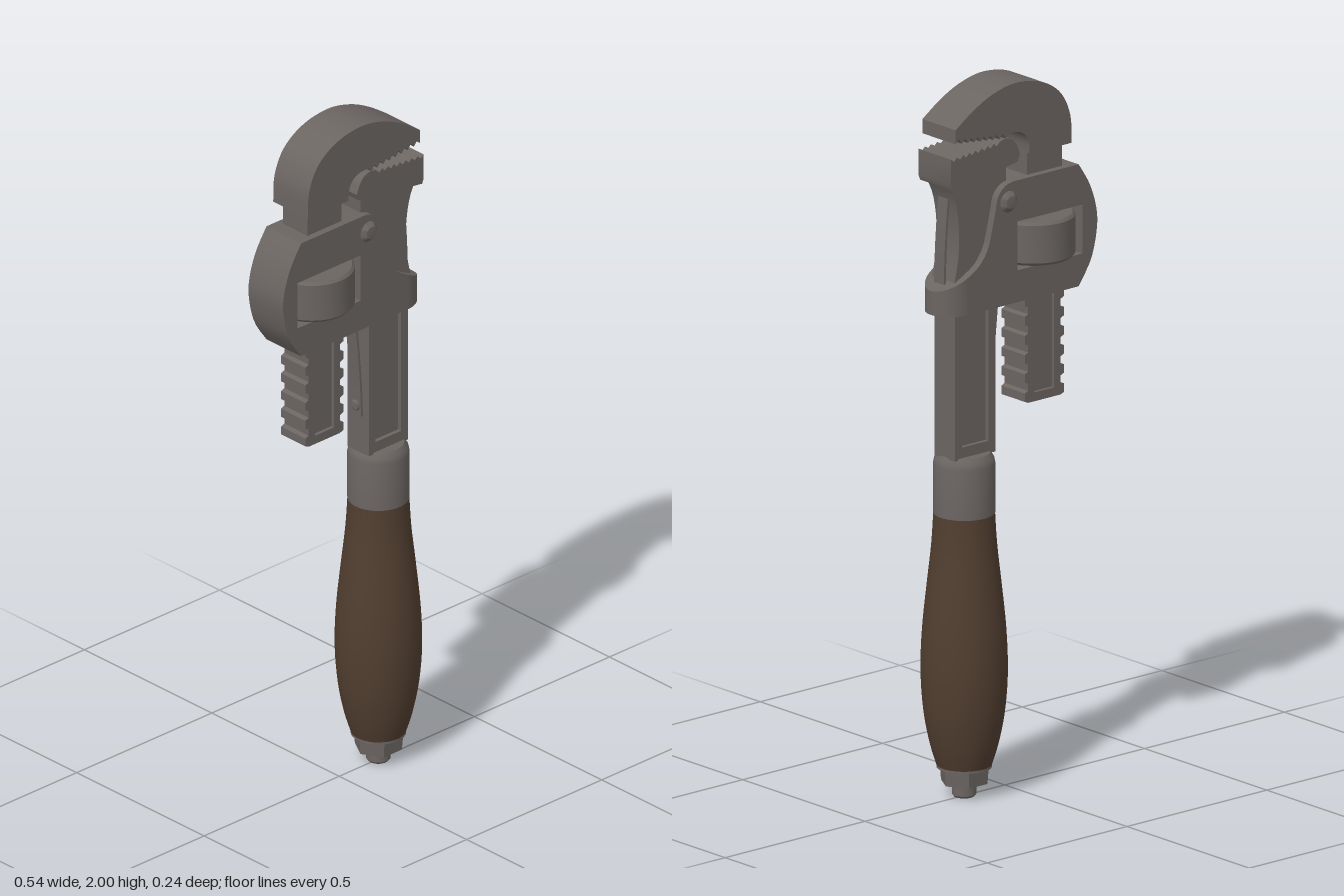
import * as THREE from 'three';
import { toCreasedNormals } from 'three/addons/utils/BufferGeometryUtils.js';

export function createModel() {
  const model = new THREE.Group();
  model.name = 'pipeWrench';
  const steel = new THREE.MeshStandardMaterial({ color: 0x6b6562 });
  steel.name = 'steel';
  const wood = new THREE.MeshStandardMaterial({ color: 0x513e30 });
  wood.name = 'dark wood';

  function add(name, geometry, material = steel, x = 0, y = 0, z = 0) {
    const mesh = new THREE.Mesh(geometry, material);
    mesh.name = name;
    mesh.position.set(x, y, z);
    model.add(mesh);
    return mesh;
  }
  const vec = (pts) => pts.map(([x, y]) => new THREE.Vector2(x, y));
  const curve = (pts, n = 24) => new THREE.SplineCurve(vec(pts)).getPoints(n);
  const rect = (x0, y0, x1, y1) => vec([[x0, y0], [x1, y0], [x1, y1], [x0, y1]]);
  // Slab cut from an outline in the xy plane, centred on z = 0
  function slab(outline, depth, holes = []) {
    const shape = new THREE.Shape(outline);
    holes.forEach((h) => shape.holes.push(new THREE.Path(h)));
    const g = new THREE.ExtrudeGeometry(shape, { depth, bevelEnabled: false });
    g.translate(0, 0, -depth / 2);
    return toCreasedNormals(g, 0.6);
  }
  const lathe = (pts, seg = 40) =>
    toCreasedNormals(new THREE.LatheGeometry(vec(pts), seg), 0.6);
  const HX = 0.145; // axis of the handle

  // Handle
  const grip = curve([[0.075, 0.09], [0.093, 0.15], [0.11, 0.24], [0.118, 0.35],
    [0.114, 0.47], [0.101, 0.6], [0.089, 0.71], [0.083, 0.81]], 28).map((p) => [p.x, p.y]);
  add('woodenGrip', lathe([[0, 0.09], ...grip, [0, 0.81]]), wood, HX);
  add('ferrule', lathe([[0, 0.8], [0.084, 0.8], [0.084, 0.94], [0.081, 0.955],
    [0.07, 0.97], [0, 0.97]]), steel, HX);
  add('washer', new THREE.CylinderGeometry(0.075, 0.075, 0.014, 32), steel, HX, 0.09);
  add('endNut', toCreasedNormals(new THREE.CylinderGeometry(0.07, 0.066, 0.046, 6), 0.4),
    steel, HX, 0.062).rotation.y = Math.PI / 6;
  add('boltEnd', lathe([[0, 0], [0.028, 0], [0.033, 0.006], [0.033, 0.05], [0, 0.05]], 20),
    steel, HX);

  // Shank with a sunken panel on both faces
  add('shankRim', slab(rect(0.07, 0.965, 0.215, 1.42), 0.084, [rect(0.095, 1.0, 0.19, 1.37)]));
  add('shankWeb', new THREE.BoxGeometry(0.11, 0.4, 0.06), steel, 0.1425, 1.185);

  // Fixed jaw: waisted neck and toothed head
  add('jawNeck', slab([
    ...vec([[0.07, 1.38], [0.22, 1.38]]),
    ...curve([[0.222, 1.46], [0.206, 1.54], [0.204, 1.62], [0.217, 1.7], [0.245, 1.76]], 14),
    ...vec([[0.035, 1.79], [0.035, 1.72], [0.05, 1.55]]),
  ], 0.092));

  // Sawtooth edge between two points
  function teeth(x0, y0, x1, y1, count, height) {
    const pts = [];
    for (let i = 0; i < count; i++) {
      const a = i / count, b = (i + 0.5) / count;
      pts.push([x0 + (x1 - x0) * a, y0 + (y1 - y0) * a]);
      pts.push([x0 + (x1 - x0) * b, y0 + (y1 - y0) * b + height]);
    }
    pts.push([x1, y1]);
    return vec(pts);
  }
  add('jawHead', slab([
    ...vec([[0.012, 1.775], [0.245, 1.742], [0.25, 1.755]]),
    ...teeth(0.25, 1.83, 0.075, 1.845, 8, -0.01),
    ...curve([[0.06, 1.849], [0.035, 1.845], [0.015, 1.825], [0.003, 1.795]], 8),
  ], 0.132));

  // Hook jaw
  add('hookJaw', slab([
    ...curve([[-0.18, 1.79], [-0.175, 1.87], [-0.14, 1.94], [-0.07, 1.985], [0.02, 2.0],
      [0.1, 1.985], [0.17, 1.953], [0.235, 1.91]], 36),
    ...teeth(0.235, 1.87, 0.055, 1.85, 8, 0.014),
    ...curve([[0.045, 1.862], [0.01, 1.86], [-0.015, 1.845], [-0.028, 1.82], [-0.03, 1.79]], 10),
  ], 0.136));
  add('hookLeg', new THREE.BoxGeometry(0.125, 0.4, 0.096), steel, -0.1, 1.62);

  // Threaded rack below the hook, notched on both edges
  const right = [], left = [];
  for (let i = 0; i < 7; i++) {
    const y = 1.08 + i * 0.054;
    [[0.058, 0], [0.07, 0.005], [0.07, 0.029], [0.058, 0.034]].forEach(([dx, dy]) => {
      right.push([-0.1 + dx, y + dy]);
      left.unshift([-0.1 - dx, y + dy]);
    });
  }
  add('hookRack', slab(vec([...right, ...left]), 0.096, [rect(-0.135, 1.105, -0.065, 1.42)]));
  add('hookRackWeb', new THREE.BoxGeometry(0.09, 0.36, 0.076), steel, -0.1, 1.265);

  // Housing with the window for the adjusting nut
  add('housing', slab([
    ...vec([[-0.205, 1.38], [0.19, 1.38]]),
    ...curve([[0.19, 1.485], [0.15, 1.51], [0.12, 1.55], [0.105, 1.6], [0.093, 1.65],
      [0.083, 1.69], [0.06, 1.715], [0.03, 1.724]], 24),
    ...curve([[-0.205, 1.724], [-0.245, 1.66], [-0.268, 1.59], [-0.27, 1.53],
      [-0.25, 1.45], [-0.205, 1.38]], 18).slice(0, -1),
  ], 0.136, [rect(-0.218, 1.47, 0.014, 1.608)]));
  // Rounded loop end, its top falling away towards the tip
  const nose = new THREE.Shape();
  nose.absellipse(0.19, 0, 0.075, 0.068, -Math.PI / 2, Math.PI / 2, false);
  const noseGeo = new THREE.ExtrudeGeometry(nose, { depth: 0.1, bevelEnabled: false, curveSegments: 20 });
  noseGeo.rotateX(-Math.PI / 2);
  const p = noseGeo.attributes.position;
  for (let i = 0; i < p.count; i++) {
    p.setY(i, p.getY(i) < 0.05 ? 1.38 : 1.485 - (p.getX(i) - 0.19) * 0.5);
  }
  add('housingLoopEnd', toCreasedNormals(noseGeo, 0.6));

  // Adjusting nut and pivot rivet
  add('adjustingNut', lathe([[0, 1.477], [0.108, 1.477], [0.115, 1.485], [0.115, 1.591],
    [0.108, 1.599], [0, 1.599]], 48), steel, -0.1);
  add('pivotRivet', lathe([[0, -0.082], [0.018, -0.08], [0.03, -0.068], [0.03, 0.068],
    [0.018, 0.08], [0, 0.082]], 24), steel, 0.045, 1.67).rotation.x = Math.PI / 2;

  // Leaf springs on either side of the shank
  const leaf = (pts) => {
    const c = curve(pts, 10);
    const back = c.map((q) => new THREE.Vector2(q.x + 0.007, q.y)).reverse();
    return slab([...back.reverse(), ...c.reverse()], 0.04);
  };
  add('innerSpring', leaf([[0.062, 1.08], [0.058, 1.18], [0.05, 1.28], [0.038, 1.4]]));
  add('outerSpring', leaf([[0.228, 1.46], [0.226, 1.54], [0.221, 1.62], [0.214, 1.7]]));
  add('springRivet', lathe([[0, -0.015], [0.02, -0.015], [0.014, 0.008], [0, 0.012]], 16),
    steel, 0.062, 1.11).rotation.z = Math.PI / 2;

  return model;
}
